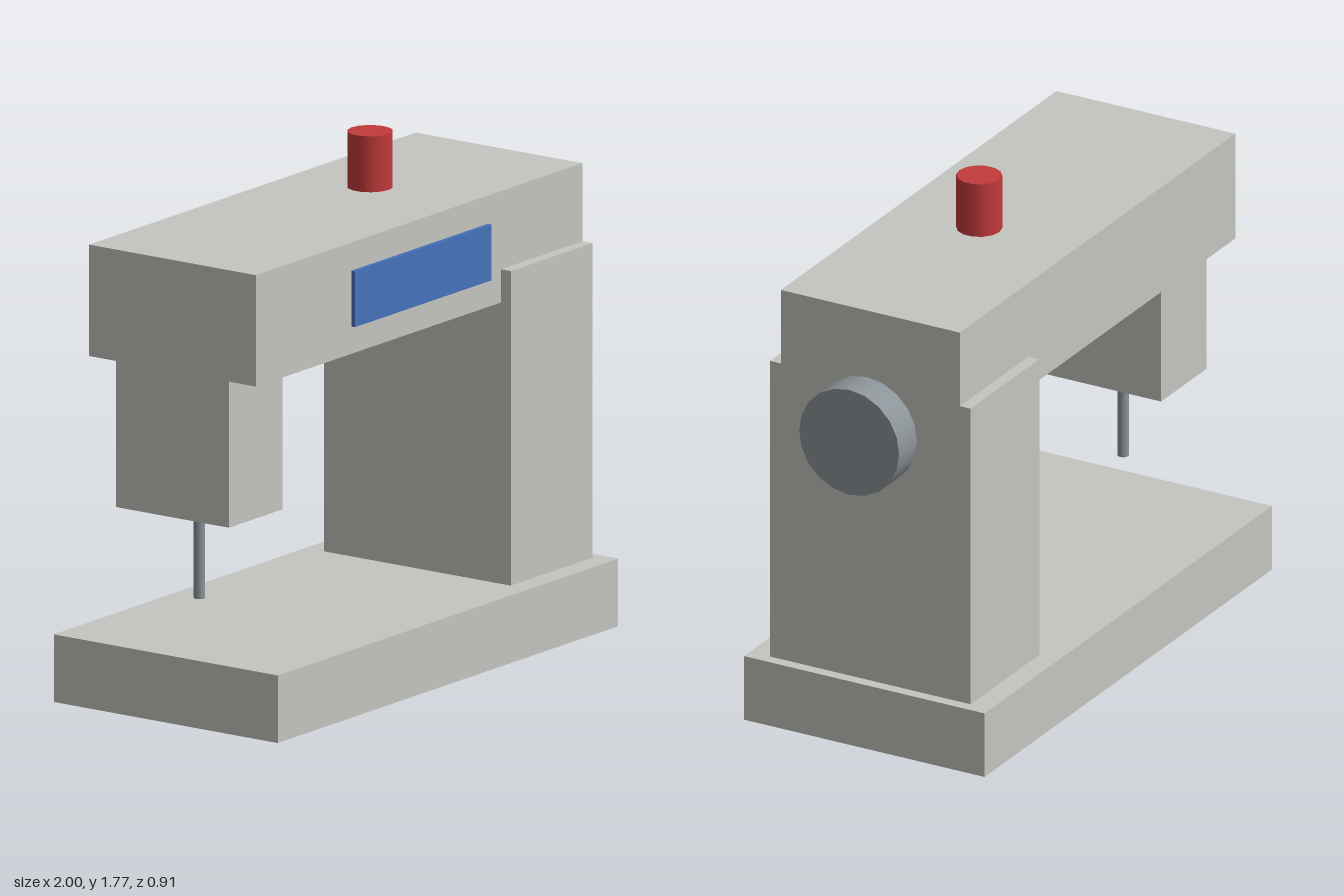
import * as THREE from 'three';

function material(name, color) {
  const m = new THREE.MeshStandardMaterial({ color });
  m.name = name;
  return m;
}

export function createModel() {
  const model = new THREE.Group();
  model.name = 'sewingMachine';
  const body = material('bodyGrey', 0xc4c4c0);
  const steel = material('steelGrey', 0x8c9499);
  const red = material('spoolRed', 0xc23a3a);
  const blue = material('panelBlue', 0x4672bc);

  const add = (name, geometry, mat, x, y, z) => {
    const mesh = new THREE.Mesh(geometry, mat);
    mesh.name = name;
    mesh.position.set(x, y, z);
    model.add(mesh);
    return mesh;
  };
  // Box given by its extents on each axis
  const box = (name, mat, [x0, x1], [y0, y1], [z0, z1]) =>
    add(name, new THREE.BoxGeometry(x1 - x0, y1 - y0, z1 - z0), mat,
      (x0 + x1) / 2, (y0 + y1) / 2, (z0 + z1) / 2);

  // Body
  box('base', body, [-1, 0.9], [0, 0.23], [-0.457, 0.457]);
  box('column', body, [0.405, 0.86], [0.23, 1.3], [-0.381, 0.381]);
  box('arm', body, [-0.962, 0.86], [1.187, 1.566], [-0.34, 0.34]);
  box('needleHead', body, [-0.962, -0.662], [0.69, 1.187], [-0.23, 0.23]);

  // Front panel
  box('frontPanel', blue, [-0.43, 0.333], [1.28, 1.47], [0.34, 0.355]);

  // Needle, thread spool and handwheel
  add('needle', new THREE.CylinderGeometry(0.019, 0.019, 0.305, 12), steel, -0.812, 0.5375, 0);
  add('threadSpool', new THREE.CylinderGeometry(0.076, 0.076, 0.19, 14), red, 0.14, 1.68, 0);
  const wheel = add('handwheel', new THREE.CylinderGeometry(0.19, 0.19, 0.118, 20), steel, 0.941, 1.147, 0);
  wheel.rotation.z = -Math.PI / 2;

  return model;
}
